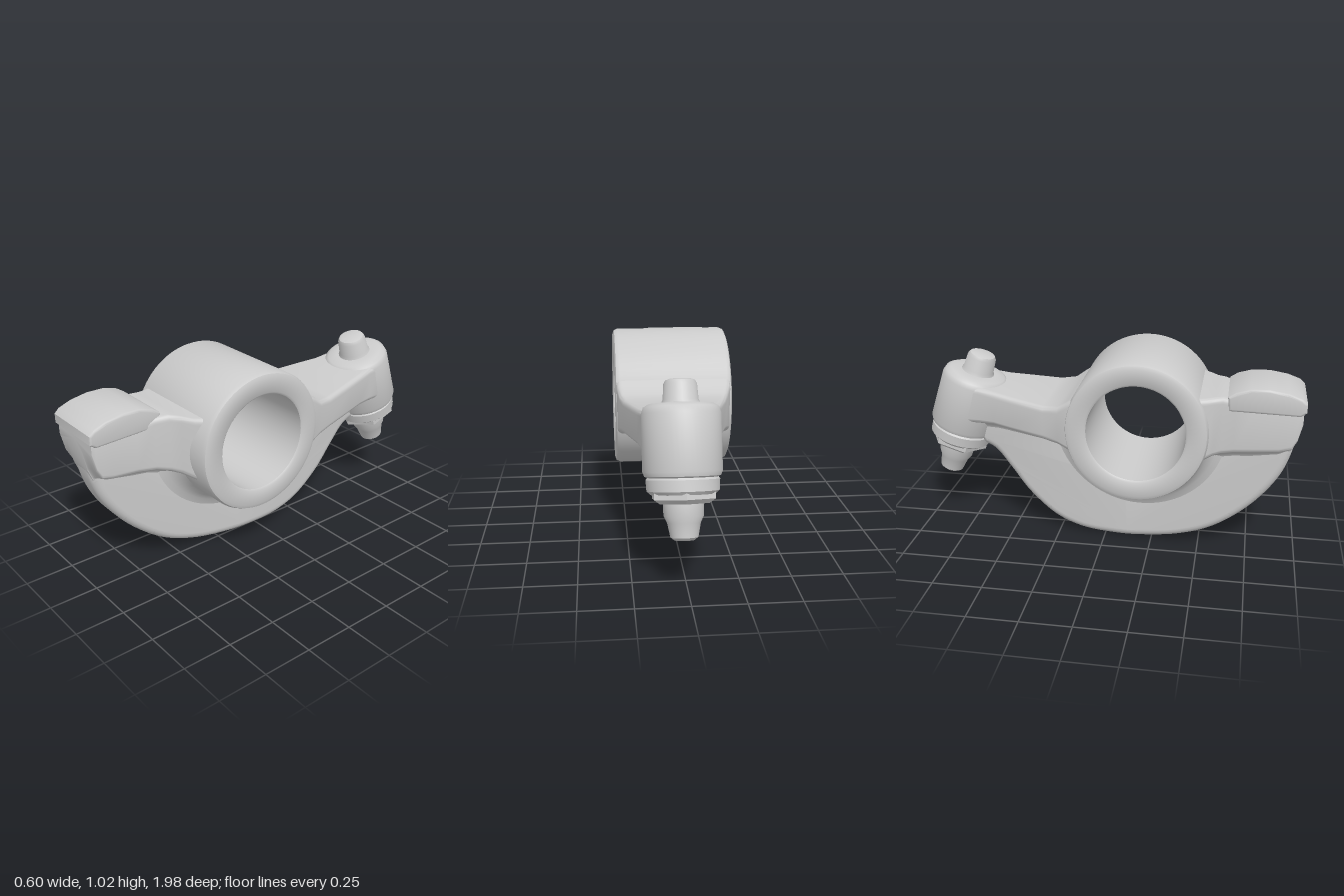
import * as THREE from 'three';
import { toCreasedNormals } from 'three/addons/utils/BufferGeometryUtils.js';

const material = new THREE.MeshStandardMaterial({ color: 0xcccccc });
const HUB_Y = 0.66, HUB_Z = 0.18;

// The web runs slightly askew: its middle drifts sideways along z
const webCentre = (z) => -0.045 - 0.07 * z;

function shear(geo) {
  const p = geo.attributes.position;
  for (let i = 0; i < p.count; i++) p.setX(i, p.getX(i) + webCentre(p.getZ(i)));
  return geo;
}

function part(name, geo, crease = 0.7) {
  const mesh = new THREE.Mesh(toCreasedNormals(geo, crease), material);
  mesh.name = name;
  return mesh;
}

function lathe(points, segments = 48, start = 0, sweep = Math.PI * 2) {
  return new THREE.LatheGeometry(points.map(([r, y]) => new THREE.Vector2(r, y)), segments, start, sweep);
}

// Extrudes a side-on shape (drawn in -z, y) across x, centred, with rounded edges
function extrudeSide(shape, width, bevel, steps) {
  const geo = new THREE.ExtrudeGeometry(shape, {
    depth: width - 2 * bevel, bevelThickness: bevel, bevelSize: bevel,
    bevelOffset: -bevel, bevelSegments: steps, curveSegments: 40,
  });
  return geo.translate(0, 0, -(width - 2 * bevel) / 2).rotateY(Math.PI / 2);
}

// Arm cross-section: rounded flat top, concave flare below running into the web
function armRing([z, x0, x1, bottom, top, neck]) {
  const c = webCentre(z), w0 = c - 0.068, w1 = c + 0.068, r = 0.03, e = 0.02;
  const path = new THREE.Path();
  path.moveTo(x0 + r, top);
  path.quadraticCurveTo(x0, top, x0, top - r);
  path.lineTo(x0, bottom + e);
  path.quadraticCurveTo(x0, bottom, x0 + e, bottom - neck * 0.1);
  path.quadraticCurveTo(w0, bottom - neck * 0.2, w0, bottom - neck);
  path.lineTo(w1, bottom - neck);
  path.quadraticCurveTo(w1, bottom - neck * 0.2, x1 - e, bottom - neck * 0.1);
  path.quadraticCurveTo(x1, bottom, x1, bottom + e);
  path.lineTo(x1, top - r);
  path.quadraticCurveTo(x1, top, x1 - r, top);
  return path.getPoints(6).map((p) => [p.x, p.y, z]);
}

// Skins a run of arm sections given in order of rising z
function loftArm(sections) {
  const rings = sections.map(armRing), n = rings[0].length;
  const pos = rings.flat(2), index = [];
  for (let i = 0; i < rings.length - 1; i++) {
    for (let j = 0; j < n; j++) {
      const a = i * n + j, b = i * n + (j + 1) % n;
      index.push(a, b, a + n, b, b + n, a + n);
    }
  }
  [0, rings.length - 1].forEach((i) => {
    const [z, x0, x1, bottom, top] = sections[i], centre = pos.length / 3;
    pos.push((x0 + x1) / 2, (bottom + top) / 2, z);
    for (let j = 0; j < n; j++) {
      const a = i * n + j, b = i * n + (j + 1) % n;
      if (i) index.push(centre, a, b);
      else index.push(centre, b, a);
    }
  });
  const geo = new THREE.BufferGeometry();
  geo.setAttribute('position', new THREE.Float32BufferAttribute(pos, 3));
  geo.setIndex(index);
  return geo;
}

export function createModel() {
  const model = new THREE.Group();
  model.name = 'rockerArm';

  // Bored hub lying along x
  const hub = lathe([
    [0.25, -0.29], [0.26, -0.298], [0.335, -0.298], [0.352, -0.291], [0.36, -0.273],
    [0.36, 0.273], [0.352, 0.291], [0.335, 0.298], [0.26, 0.298], [0.25, 0.29], [0.25, -0.29],
  ], 72).rotateZ(Math.PI / 2).translate(0, HUB_Y, HUB_Z);
  model.add(part('hub', hub));

  // Deep curved web hanging below the hub
  const outline = [
    [0.975, 0.72], [0.945, 0.55], [0.88, 0.4], [0.75, 0.24], [0.58, 0.11], [0.4, 0.04],
    [0.2, 0.008], [0.04, 0.003], [-0.13, 0.02], [-0.28, 0.08], [-0.42, 0.2],
    [-0.52, 0.33], [-0.6, 0.43], [-0.67, 0.47],
  ].map(([z, y]) => new THREE.Vector2(-z, y));
  const web = new THREE.Shape();
  web.moveTo(outline[0].x, outline[0].y);
  web.splineThru(outline.slice(1));
  web.lineTo(0.74, 0.6);
  web.lineTo(0.72, 0.7);
  web.lineTo(0.12, HUB_Y);
  web.absarc(-HUB_Z, HUB_Y, 0.3, 0, -Math.PI, true);
  model.add(part('web', shear(extrudeSide(web, 0.155, 0.04, 5))));

  // Fillet easing the underside of the hub into the web
  const half = [[0.345, 0.2], [0.363, 0.15], [0.385, 0.115], [0.415, 0.09], [0.46, 0.073]];
  const fillet = lathe([...half.map(([r, y]) => [r, -y]), ...half.slice().reverse()], 48, Math.PI, Math.PI)
    .rotateZ(Math.PI / 2).translate(0, HUB_Y, HUB_Z);
  model.add(part('hubFillet', shear(fillet)));

  // Front arm: z, left edge, right edge, underside, top, depth of flare
  model.add(part('frontArm', loftArm([
    [0.46, -0.28, 0.26, 0.5, 0.85, 0.1],
    [0.52, -0.262, 0.21, 0.54, 0.85, 0.1],
    [0.56, -0.252, 0.15, 0.56, 0.855, 0.1],
    [0.6, -0.25, 0.115, 0.572, 0.86, 0.1],
    [0.66, -0.252, 0.08, 0.582, 0.85, 0.1],
    [0.75, -0.258, 0.06, 0.59, 0.83, 0.1],
    [0.88, -0.26, 0.055, 0.6, 0.82, 0.08],
    [0.94, -0.26, 0.055, 0.615, 0.82, 0.05],
    [0.965, -0.258, 0.053, 0.66, 0.82, 0.03],
    [0.985, -0.255, 0.05, 0.74, 0.82, 0.01],
  ])));

  // Curved contact pad on the front arm
  const padPoints = [
    [0.63, 0.8], [0.97, 0.79], [0.998, 0.81], [0.998, 0.855], [0.975, 0.878], [0.91, 0.902],
    [0.82, 0.917], [0.73, 0.915], [0.66, 0.895], [0.622, 0.87],
  ].map(([z, y]) => new THREE.Vector2(-z, y));
  const pad = extrudeSide(new THREE.Shape(padPoints), 0.34, 0.012, 3).translate(-0.098, 0, 0);
  model.add(part('contactPad', pad, 0.6));

  // Rear arm, tapering away from the hub
  model.add(part('rearArm', loftArm([
    [-0.74, -0.148, 0.195, 0.62, 0.81, 0.1],
    [-0.66, -0.152, 0.2, 0.62, 0.805, 0.1],
    [-0.58, -0.165, 0.212, 0.62, 0.79, 0.1],
    [-0.48, -0.195, 0.232, 0.61, 0.778, 0.1],
    [-0.3, -0.242, 0.265, 0.59, 0.757, 0.1],
    [-0.22, -0.265, 0.28, 0.577, 0.765, 0.1],
    [-0.17, -0.285, 0.29, 0.56, 0.8, 0.1],
    [-0.1, -0.29, 0.29, 0.53, 0.845, 0.1],
  ])));

  // Tilted boss with its adjusting screw at the end of the rear arm
  const adjuster = new THREE.Group();
  adjuster.name = 'adjuster';
  adjuster.position.set(0.022, 0.84, -0.71);
  adjuster.rotation.x = 0.316;
  adjuster.add(part('boss', lathe([
    [0, -0.325], [0.15, -0.325], [0.17, -0.315], [0.178, -0.295], [0.178, -0.04],
    [0.168, -0.012], [0.145, 0.002], [0.1, 0.006], [0, 0.006],
  ])));
  adjuster.add(part('screwTop', lathe([
    [0.095, -0.01], [0.08, 0.02], [0.075, 0.09], [0.066, 0.106], [0.05, 0.112], [0, 0.112],
  ], 32)));
  adjuster.add(part('washer', lathe([
    [0, -0.395], [0.145, -0.395], [0.162, -0.38], [0.165, -0.33], [0.15, -0.31],
  ], 32)));
  adjuster.add(part('lockNut', lathe([
    [0, -0.435], [0.125, -0.435], [0.155, -0.415], [0.155, -0.38],
  ], 6), 0.2));
  adjuster.add(part('screwTip', lathe([
    [0, -0.6], [0.045, -0.598], [0.062, -0.585], [0.075, -0.52], [0.09, -0.49], [0.092, -0.42],
  ], 32)));
  model.add(adjuster);

  return model;
}
